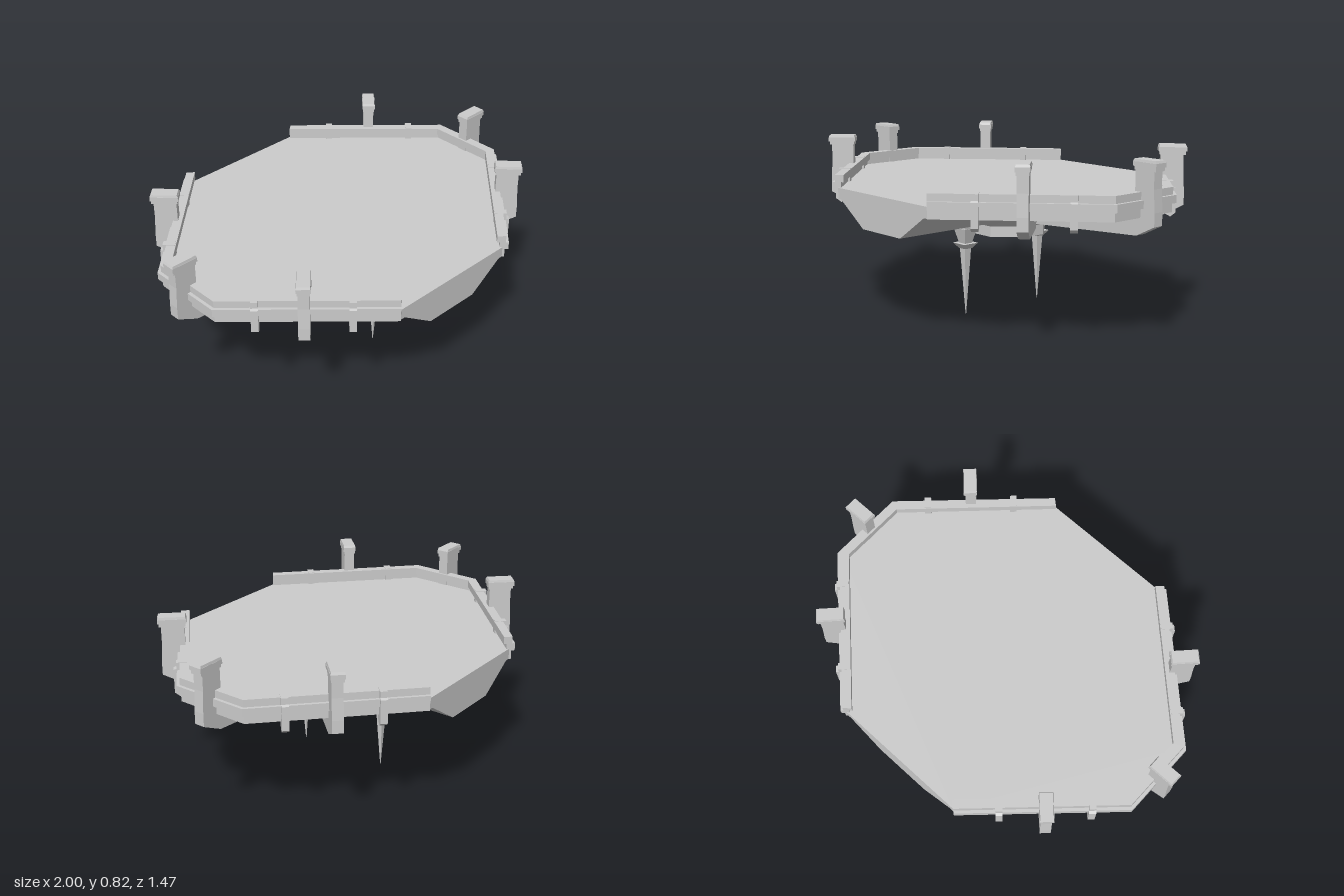
import * as THREE from 'three';

const mat = new THREE.MeshStandardMaterial({ color: 0xcccccc, flatShading: true, side: THREE.DoubleSide });
const CZ = -0.0175; // centre of the platform in z

function add(parent, name, geo) {
  const m = new THREE.Mesh(geo, mat);
  m.name = name;
  parent.add(m);
  return m;
}

function shapeOf(points) {
  return new THREE.Shape(points.map(([x, y]) => new THREE.Vector2(x, y)));
}

// vertical prism from a plan outline given as [x, z]
function slab(points, y0, y1) {
  const g = new THREE.ExtrudeGeometry(shapeOf(points.map(([x, z]) => [x, -z])), { depth: y1 - y0, bevelEnabled: false });
  return g.rotateX(-Math.PI / 2).translate(0, y0, 0);
}

// prism from a side profile [x, y], centred on z
function plate(points, width) {
  return new THREE.ExtrudeGeometry(shapeOf(points), { depth: width, bevelEnabled: false }).translate(0, 0, -width / 2);
}

// octagon with corners (a, b) and (c, d) mirrored to all quarters
function octagon(a, b, c, d) {
  return [[a, b], [c, d], [-c, d], [-a, b], [-a, -b], [-c, -d], [c, -d], [a, -b]];
}

// side walls between two plan outlines at different heights
function loft(low, yLow, high, yHigh) {
  const pos = [], idx = [], n = low.length;
  for (let i = 0; i < n; i++) {
    pos.push(low[i][0], yLow, low[i][1], high[i][0], yHigh, high[i][1]);
    const a = 2 * i, b = 2 * ((i + 1) % n);
    idx.push(a, a + 1, b, b, a + 1, b + 1);
  }
  const g = new THREE.BufferGeometry();
  g.setAttribute('position', new THREE.Float32BufferAttribute(pos, 3));
  g.setIndex(idx);
  const flat = g.toNonIndexed();
  flat.computeVertexNormals();
  return flat;
}

// four-sided tapered block
function taper(topX, bottomX, height, depthRatio) {
  return new THREE.CylinderGeometry(topX * Math.SQRT2, bottomX * Math.SQRT2, height, 4, 1)
    .rotateY(Math.PI / 4).scale(1, 1, depthRatio);
}

// pillar with cap and the rib that runs inward under the deck
function pillar(x, z, angle, ribLength) {
  const g = new THREE.Group();
  g.name = 'pillar';
  g.position.set(x, 0, z);
  g.rotation.y = -angle;
  add(g, 'pillarAndRib', plate([
    [-0.055, 0.78], [0.05, 0.78], [0.05, 0.7], [0.056, 0.6], [0.056, 0.54],
    [-0.045, 0.49], [-ribLength, 0.445], [-ribLength, 0.58], [-0.055, 0.6],
  ], 0.05));
  add(g, 'capBase', new THREE.BoxGeometry(0.12, 0.015, 0.056)).position.y = 0.782;
  add(g, 'cap', new THREE.BoxGeometry(0.13, 0.02, 0.064)).position.y = 0.8;
  add(g, 'capTop', taper(0.06, 0.065, 0.012, 0.48)).position.y = 0.815;
  return g;
}

// plan strip of railing on one side, between two offsets from the deck edge
function railStrip(side, inner, outer) {
  const edge = d => [
    [0.335 + 0.69 * d, 0.7175 + 0.6 * d], [0.9 + d, 0.175 + 0.41 * d],
    [0.9 + d, -0.175 - 0.41 * d], [0.335 + 0.69 * d, -0.7175 - 0.6 * d],
  ];
  return [...edge(outer), ...edge(inner).reverse()].map(([x, z]) => [side * x, z]);
}

export function createModel() {
  const root = new THREE.Group();
  root.name = 'platform';
  const body = new THREE.Group();
  body.name = 'body';
  body.position.z = CZ;
  root.add(body);

  // deck, hub and funnel beneath
  add(body, 'deck', slab(octagon(0.9, 0.175, 0.335, 0.7175), 0.57, 0.622));
  const hub = octagon(0.23, 0.055, 0.115, 0.175);
  add(body, 'hub', slab(hub, 0.385, 0.44));
  add(body, 'funnel', loft(hub, 0.435, octagon(0.46, 0.14, 0.25, 0.42), 0.572));

  // wide beams below the open front and back edges
  for (const s of [1, -1]) {
    const beam = plate([[-0.32, 0.575], [-0.14, 0.455], [0.14, 0.455], [0.32, 0.575]], 0.6);
    add(body, s > 0 ? 'frontBeam' : 'backBeam', beam).position.z = s * 0.4175;
  }

  // railings on both sides, in three bands
  const bands = [[-0.03, 0.012, 0.57, 0.612], [-0.015, 0.03, 0.612, 0.648], [-0.03, 0.015, 0.648, 0.682]];
  for (const s of [1, -1]) {
    for (const [inner, outer, y0, y1] of bands) {
      add(body, s > 0 ? 'leftRailing' : 'rightRailing', slab(railStrip(s, inner, outer), y0, y1));
    }
  }

  // pillars with ribs, and small brackets on the diagonal railings
  for (const sx of [1, -1]) {
    body.add(pillar(sx * 0.935, 0, sx > 0 ? 0 : Math.PI, 0.75));
    for (const sz of [1, -1]) {
      const angle = Math.atan2(sz * 0.72, sx * 0.69);
      body.add(pillar(sx * 0.662, sz * 0.467, angle, 0.52));
      for (const t of [0.26, 0.79]) {
        const bracket = add(body, 'railBracket', plate([
          [-0.03, 0.684], [0.025, 0.684], [0.025, 0.655], [0.038, 0.65],
          [0.038, 0.54], [0.015, 0.522], [-0.01, 0.535], [-0.03, 0.575],
        ], 0.032));
        bracket.position.set(sx * (0.335 + 0.565 * t + 0.004), 0, sz * (0.7175 - 0.5425 * t + 0.004));
        bracket.rotation.y = -angle;
      }
    }
  }

  // hanging spikes at the front and back of the hub
  for (const s of [1, -1]) {
    const spike = new THREE.Group();
    spike.name = s > 0 ? 'frontSpike' : 'backSpike';
    spike.position.z = s * 0.232;
    add(spike, 'spikeMount', taper(0.042, 0.038, 0.04, 0.85)).position.y = 0.435;
    add(spike, 'spikeNeck', taper(0.042, 0.022, 0.075, 0.9)).position.y = 0.382;
    add(spike, 'spikeCollar', taper(0.042, 0.022, 0.026, 1)).position.y = 0.335;
    add(spike, 'spikePoint', taper(0.019, 0.001, 0.325, 1)).position.y = 0.1625;
    body.add(spike);
  }
  return root;
}
